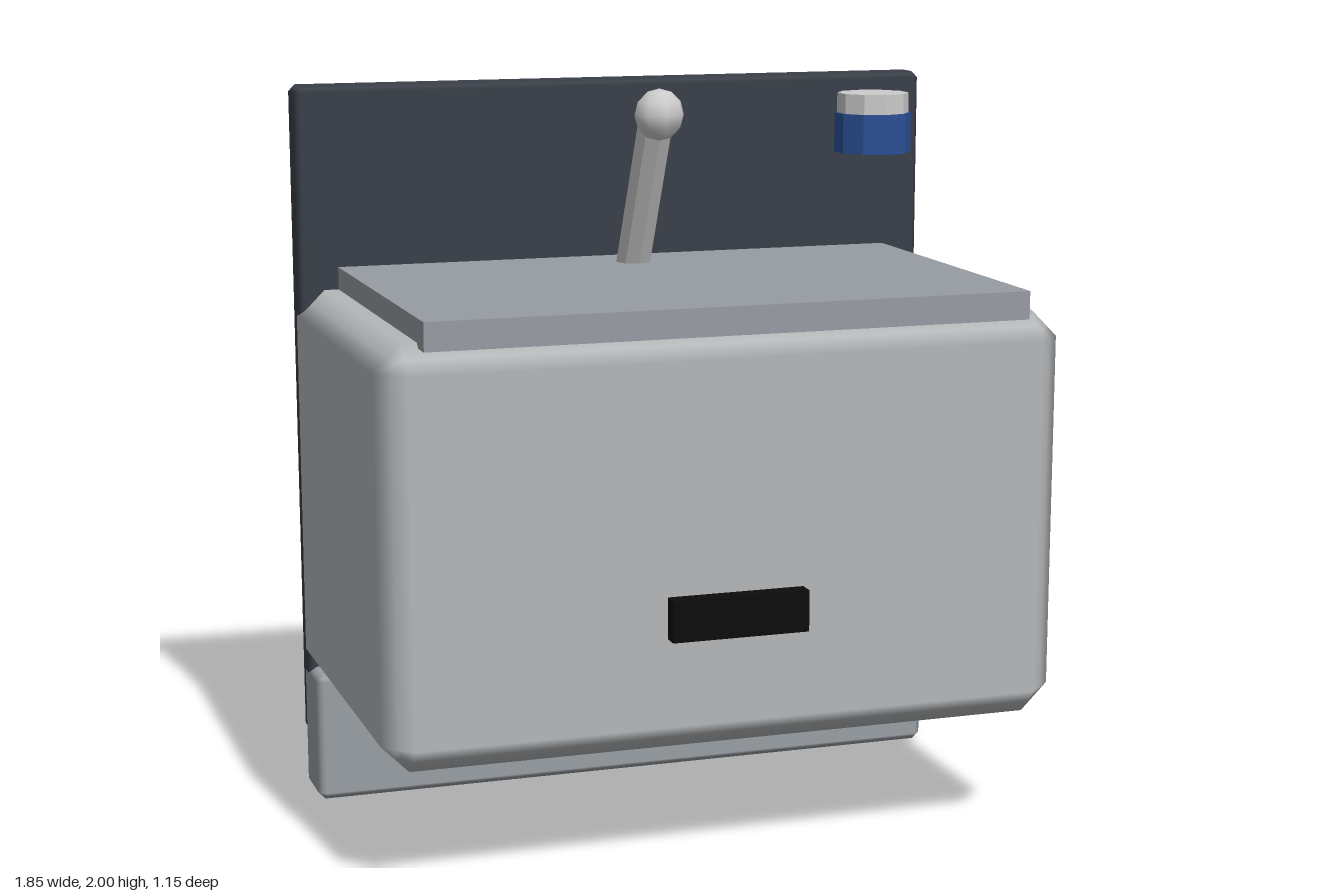
import * as THREE from 'three';

// Box with chamfered edges: flat faces, normals blending across the chamfers
function chamferBox(w, h, d, c) {
  const geo = new THREE.BoxGeometry(1, 1, 1, 3, 3, 3);
  const pos = geo.attributes.position, nor = geo.attributes.normal;
  const half = [w / 2, h / 2, d / 2];
  for (let i = 0; i < pos.count; i++) {
    const p = [pos.getX(i), pos.getY(i), pos.getZ(i)];
    const outer = p.map(v => Math.abs(v) > 0.4);
    const n = outer.filter(Boolean).length;
    const inset = [0, 0, c / 2, c * 2 / 3][n];
    const q = p.map((v, k) => Math.sign(v) * (half[k] - (outer[k] ? inset : c)));
    const m = p.map((v, k) => (outer[k] ? Math.sign(v) / Math.sqrt(n) : 0));
    pos.setXYZ(i, ...q);
    nor.setXYZ(i, ...m);
  }
  return geo;
}

export function createModel() {
  const model = new THREE.Group();

  function add(name, geometry, color, x, y, z, flatShading = false) {
    const material = new THREE.MeshStandardMaterial({ color, flatShading });
    const mesh = new THREE.Mesh(geometry, material);
    mesh.name = name;
    mesh.position.set(x, y, z);
    model.add(mesh);
    return mesh;
  }

  // Main housing, its rear face showing through the back panel
  add('body', chamferBox(1.846, 1.1, 1.11, 0.073), 0xb4b6b8, 0, 0.89, -0.023);
  add('backPanel', chamferBox(1.84, 1.84, 0.1, 0.018), 0x3a3f48, 0, 1.08, -0.525);
  add('baseRail', chamferBox(1.84, 0.365, 0.18, 0.02), 0x999ea3, 0, 0.1825, -0.463);
  add('lid', new THREE.BoxGeometry(1.62, 0.075, 1.03), 0x979ba3, 0, 1.4645, 0.017);
  add('frontSlot', new THREE.BoxGeometry(0.37, 0.11, 0.06), 0x0c0c0c, 0, 0.705, 0.547);

  // Outlet below the housing
  add('outlet', new THREE.CylinderGeometry(0.11, 0.11, 0.14, 8), 0x999ea3, 0, 0.295, -0.055, true);

  // Leaning lever with a ball on top
  const foot = new THREE.Vector3(0, 1.43, -0.37), tip = new THREE.Vector3(0, 1.92, -0.125);
  const axis = tip.clone().sub(foot);
  const mid = foot.clone().add(tip).multiplyScalar(0.5);
  const lever = add('lever', new THREE.CylinderGeometry(0.05, 0.05, axis.length(), 8),
    0xcccccc, mid.x, mid.y, mid.z, true);
  lever.quaternion.setFromUnitVectors(new THREE.Vector3(0, 1, 0), axis.normalize());
  add('leverBall', new THREE.SphereGeometry(0.07, 8, 6), 0xcccccc, 0, 1.93, -0.1);

  // Two-tone button
  add('buttonBase', new THREE.CylinderGeometry(0.107, 0.107, 0.11, 10), 0x2b5096, 0.665, 1.855, -0.208, true);
  add('buttonCap', new THREE.CylinderGeometry(0.1, 0.1, 0.056, 10), 0xd2d2d4, 0.665, 1.937, -0.208, true);

  return model;
}
